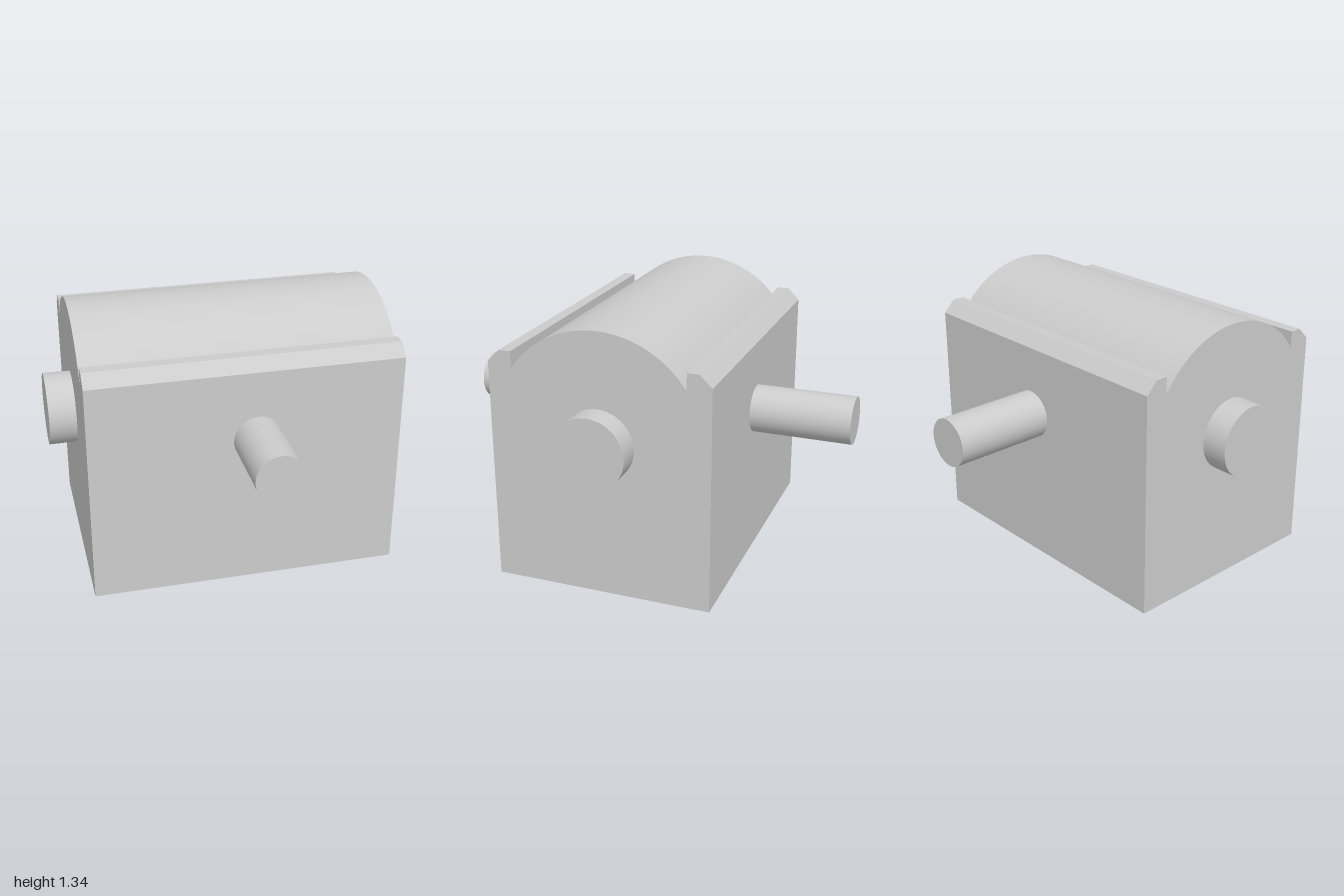
import * as THREE from 'three';
import { toCreasedNormals } from 'three/addons/utils/BufferGeometryUtils.js';

const material = new THREE.MeshStandardMaterial({ color: 0xcccccc });
const MID_Z = 0.06; // symmetry plane of the housing
const AXIS_Y = 0.78; // height of shaft and rod

function addMesh(group, name, geometry) {
  const mesh = new THREE.Mesh(geometry, material);
  mesh.name = name;
  group.add(mesh);
  return mesh;
}

// End profile of the housing: block, chamfered rails, grooves and domed top
function housingGeometry() {
  const half = 0.555, railInner = 0.435, grooveY = 1.105, crownY = 1.335;
  const rise = crownY - grooveY;
  const radius = (railInner ** 2 + rise ** 2) / (2 * rise);
  const centreY = crownY - radius;
  const start = Math.atan2(grooveY - centreY, railInner);

  const shape = new THREE.Shape();
  shape.moveTo(-half, 0);
  shape.lineTo(half, 0);
  shape.lineTo(half, 1.13);
  shape.lineTo(half - 0.06, 1.19);
  shape.lineTo(railInner, 1.19);
  shape.lineTo(railInner, grooveY);
  shape.absarc(0, centreY, radius, start, Math.PI - start, false);
  shape.lineTo(-railInner, 1.19);
  shape.lineTo(-half + 0.06, 1.19);
  shape.lineTo(-half, 1.13);
  shape.closePath();

  const geometry = new THREE.ExtrudeGeometry(shape, { depth: 1.542, bevelEnabled: false, curveSegments: 64 });
  geometry.rotateY(Math.PI / 2);
  geometry.translate(-0.765, 0, MID_Z);
  return toCreasedNormals(geometry, 0.3);
}

export function createModel() {
  const group = new THREE.Group();
  group.name = 'housingWithShafts';

  addMesh(group, 'housing', housingGeometry());

  // Thick shaft showing as a short stub on each end
  const shaft = addMesh(group, 'sideShaft', new THREE.CylinderGeometry(0.18, 0.18, 1.8, 96));
  shaft.rotation.z = Math.PI / 2;
  shaft.position.set(0, AXIS_Y, MID_Z);

  // Thinner rod passing from front to back
  const rod = addMesh(group, 'crossRod', new THREE.CylinderGeometry(0.12, 0.12, 2, 96));
  rod.rotation.x = Math.PI / 2;
  rod.position.set(0.055, AXIS_Y, 0);

  return group;
}
